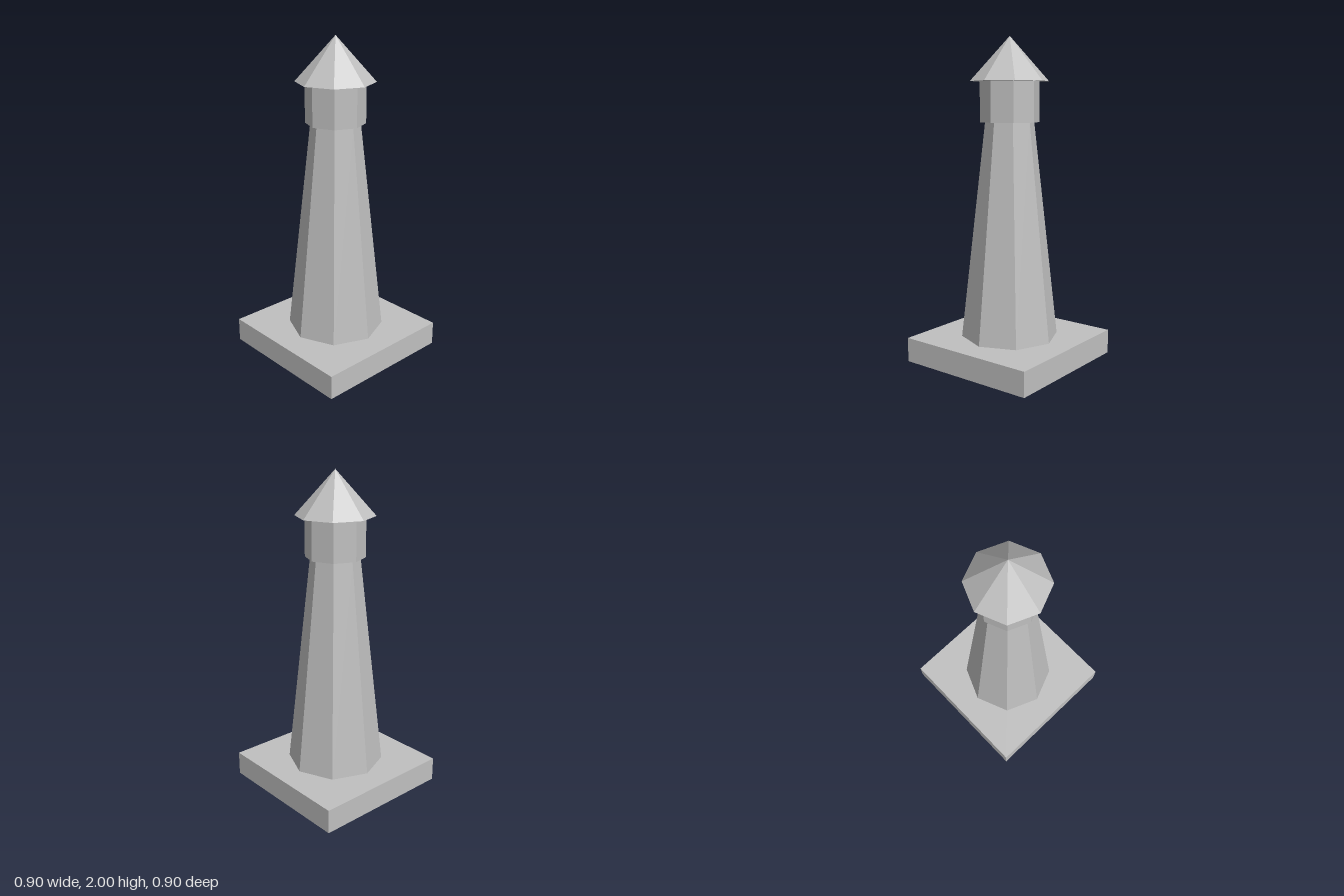
import * as THREE from 'three';

export function createModel() {
  const group = new THREE.Group();
  group.name = 'lighthouse';

  const stone = new THREE.MeshStandardMaterial({ color: 0xc0c0c0, flatShading: true });
  stone.name = 'pale grey stone';

  const SIDES = 8;
  const baseTop = 0.151, towerTop = 1.487, lanternTop = 1.733, tip = 2;

  const add = (name, geometry, bottom, top) => {
    const mesh = new THREE.Mesh(geometry, stone);
    mesh.name = name;
    mesh.position.y = (bottom + top) / 2;
    group.add(mesh);
  };

  // Eight-sided stage between two heights, with a corner facing the front
  const addStage = (name, rTop, rBottom, bottom, top) =>
    add(name, new THREE.CylinderGeometry(rTop, rBottom, top - bottom, SIDES), bottom, top);

  // Square plinth
  add('base', new THREE.BoxGeometry(0.905, baseTop, 0.905), 0, baseTop);

  // Tapering tower and the wider lantern room on it
  addStage('tower', 0.151, 0.302, baseTop, towerTop);
  addStage('lanternRoom', 0.182, 0.182, towerTop, lanternTop);

  // Pointed roof with overhanging eaves
  add('roof', new THREE.ConeGeometry(0.241, tip - lanternTop, SIDES), lanternTop, tip);

  return group;
}
